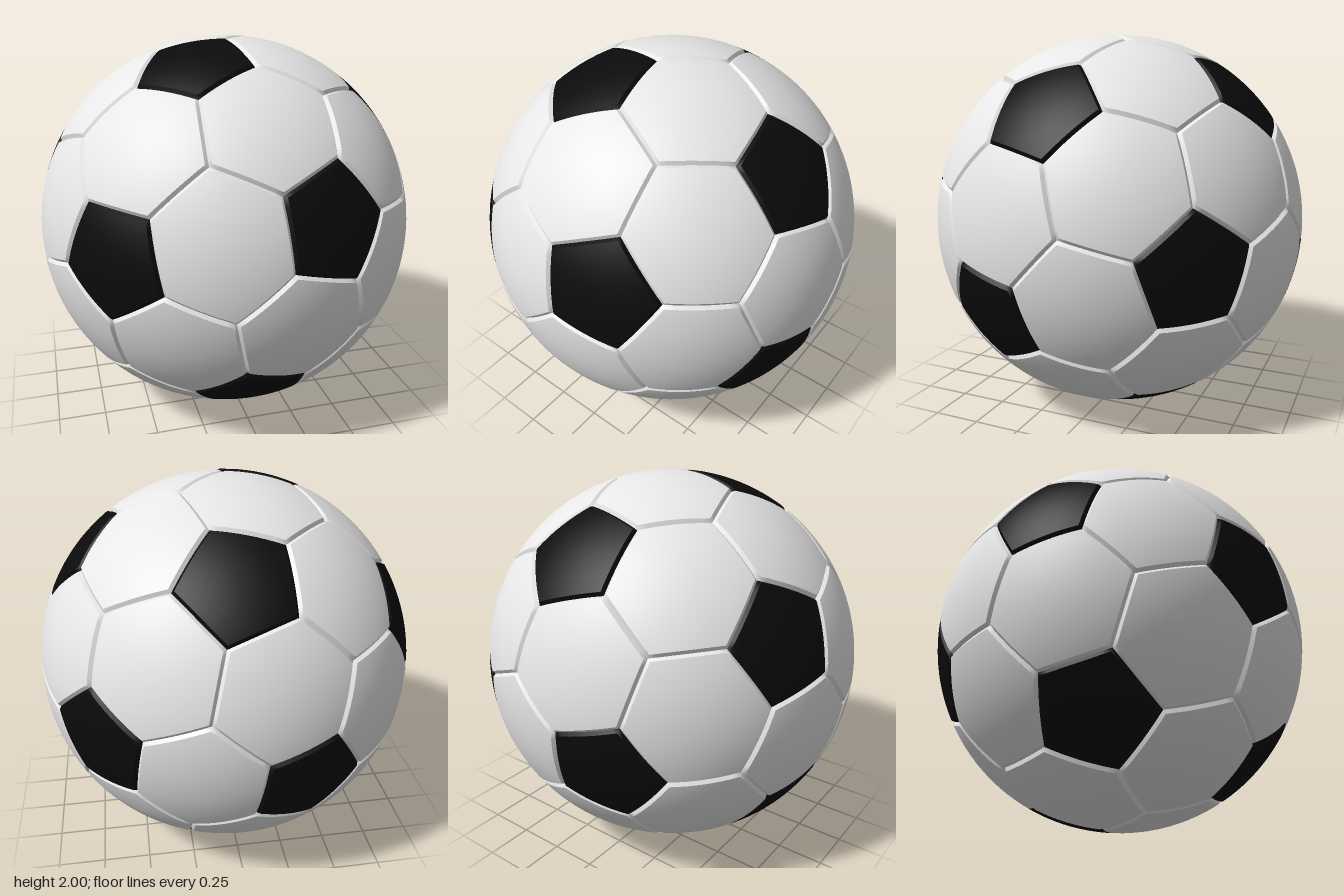
import * as THREE from 'three';

const DEG = Math.PI / 180;
const CORNER = 17.5 * DEG;   // angle from a pentagon's centre to its corners
const SEAM = 0.015;          // half width of the seam groove
const DEPTH = 0.015;         // depth of the seam groove
const EDGE_STEPS = 8;

// Twelve pentagon centres: the corners of a tilted icosahedron
function pentagonCentres() {
  const pole = new THREE.Vector3(0.2845, 0.2576, 0.9235).normalize();
  const u = new THREE.Vector3(1, 0, 0).addScaledVector(pole, -pole.x).normalize();
  const v = pole.clone().cross(u);
  const list = [pole];
  for (let k = 0; k < 5; k++) {
    const a = (42.9 + 72 * k) * DEG;
    list.push(pole.clone().multiplyScalar(Math.sqrt(0.2))
      .addScaledVector(u, Math.sqrt(0.8) * Math.cos(a))
      .addScaledVector(v, Math.sqrt(0.8) * Math.sin(a)));
  }
  return list.concat(list.map((p) => p.clone().negate()));
}

// Point on the unit sphere at a fixed angle from p towards f
function cornerToward(p, f) {
  const side = f.clone().addScaledVector(p, -p.dot(f)).normalize();
  return p.clone().multiplyScalar(Math.cos(CORNER)).addScaledVector(side, Math.sin(CORNER));
}

// Order corners counter-clockwise as seen from outside
function sortAround(centre, corners) {
  const u = corners[0].clone().addScaledVector(centre, -centre.dot(corners[0])).normalize();
  const v = centre.clone().cross(u);
  const angle = (p) => Math.atan2(p.dot(v), p.dot(u));
  return corners.slice().sort((a, b) => angle(a) - angle(b));
}

// Domed panel with a bevelled rim sloping into the seam
function panelGeometry(centre, unsorted) {
  const corners = sortAround(centre, unsorted);
  const n = corners.length;
  const rim = [];
  let apothem = 1;
  for (let i = 0; i < n; i++) {
    const a = corners[i], b = corners[(i + 1) % n];
    apothem = Math.min(apothem, a.clone().lerp(b, 0.5).normalize().distanceTo(centre));
    for (let j = 0; j < EDGE_STEPS; j++) rim.push(a.clone().lerp(b, j / EDGE_STEPS).normalize());
  }
  const inset = 1 - SEAM / apothem;
  const crown = [0, 0.2, 0.4, 0.6, 0.8, 1].map((t) => [t * inset, 1]);
  const rings = [...crown, [inset, 1], [1, 1 - DEPTH]];
  const cols = rim.length;
  const positions = [], index = [];
  for (const [t, r] of rings) {
    for (const b of rim) {
      const p = centre.clone().lerp(b, t).normalize().multiplyScalar(r);
      positions.push(p.x, p.y, p.z);
    }
  }
  for (let i = 0; i < rings.length - 1; i++) {
    if (i === crown.length - 1) continue; // sharp crease between crown and bevel
    for (let j = 0; j < cols; j++) {
      const k = (j + 1) % cols;
      const a = i * cols + j, b = a + cols, c = (i + 1) * cols + k, d = i * cols + k;
      index.push(a, b, c);
      if (i > 0) index.push(a, c, d);
    }
  }
  const geo = new THREE.BufferGeometry();
  geo.setAttribute('position', new THREE.Float32BufferAttribute(positions, 3));
  geo.setIndex(index);
  geo.computeVertexNormals();
  // The crown follows the sphere exactly
  for (let i = 0; i < crown.length * cols; i++) {
    geo.attributes.normal.setXYZ(i, positions[3 * i], positions[3 * i + 1], positions[3 * i + 2]);
  }
  return geo;
}

export function createModel() {
  const white = new THREE.MeshStandardMaterial({ color: 0xe7e7e7 });
  white.name = 'white leather';
  const black = new THREE.MeshStandardMaterial({ color: 0x0b0b0b });
  black.name = 'black leather';

  const ball = new THREE.Group();
  ball.name = 'ball';
  const centres = pentagonCentres();
  const near = (i, j) => i !== j && centres[i].dot(centres[j]) > 0.4;

  // Junctions where three hexagons meet
  const junctions = [];
  for (let i = 0; i < 12; i++)
    for (let j = i + 1; j < 12; j++)
      for (let k = j + 1; k < 12; k++)
        if (near(i, j) && near(j, k) && near(i, k)) {
          const point = centres[i].clone().add(centres[j]).add(centres[k]).normalize();
          junctions.push({ ids: [i, j, k], point });
        }

  const addPanel = (name, centre, corners, material) => {
    const mesh = new THREE.Mesh(panelGeometry(centre, corners), material);
    mesh.name = name;
    mesh.position.y = 1;
    ball.add(mesh);
  };

  // Black pentagons
  centres.forEach((c, i) => {
    const around = junctions.filter((f) => f.ids.includes(i));
    addPanel('pentagonPanel', c, around.map((f) => cornerToward(c, f.point)), black);
  });

  // White hexagons, one between each pair of neighbouring pentagons
  for (let i = 0; i < 12; i++) {
    for (let j = i + 1; j < 12; j++) {
      if (!near(i, j)) continue;
      const corners = [];
      for (const f of junctions.filter((q) => q.ids.includes(i) && q.ids.includes(j))) {
        corners.push(cornerToward(centres[i], f.point), f.point, cornerToward(centres[j], f.point));
      }
      addPanel('hexagonPanel', centres[i].clone().add(centres[j]).normalize(), corners, white);
    }
  }
  return ball;
}
